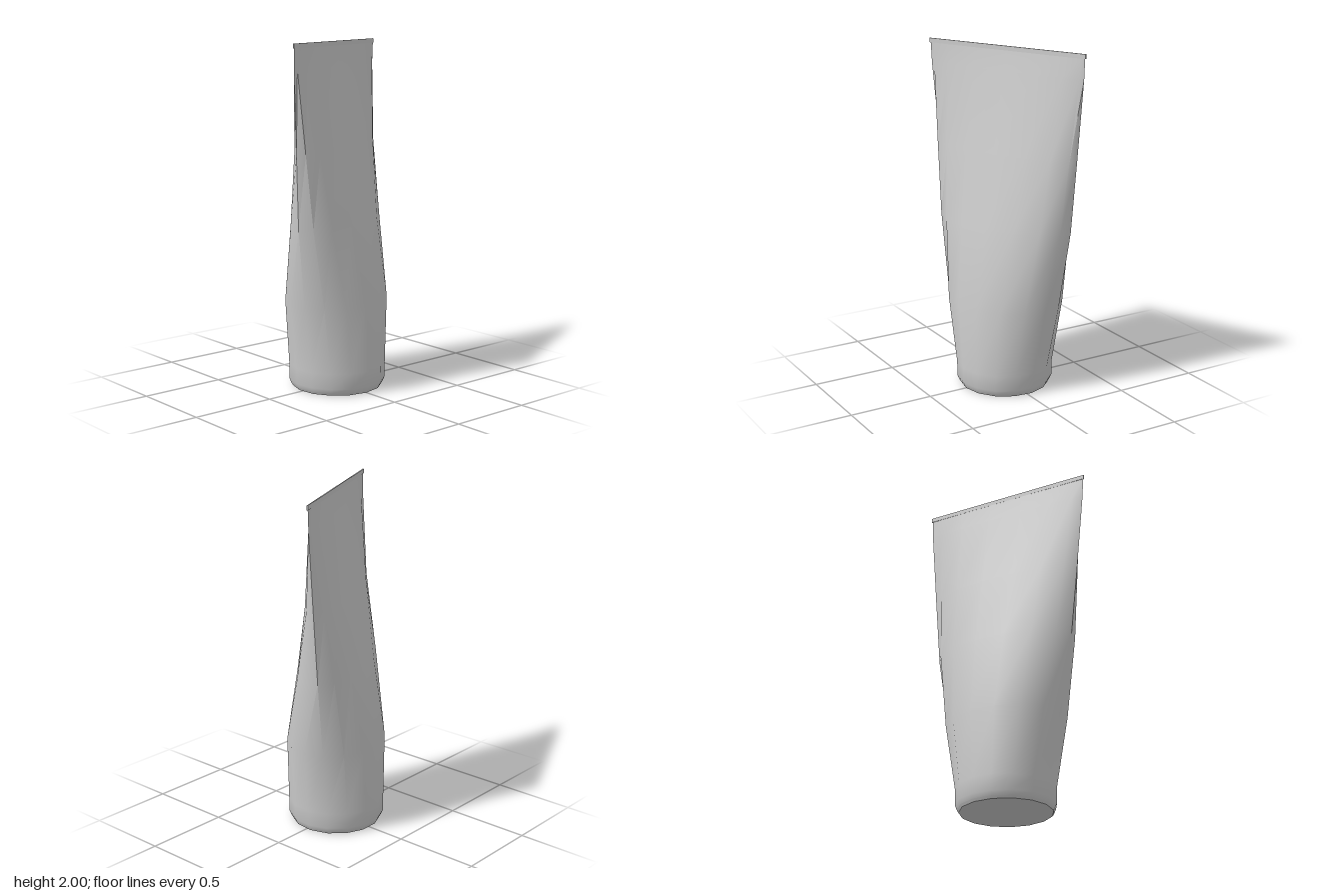
import * as THREE from 'three';
import { toCreasedNormals } from 'three/addons/utils/BufferGeometryUtils.js';

const SIDES = 15;
const grey = new THREE.MeshStandardMaterial({ color: 0xcccccc, side: THREE.DoubleSide });

// Skin over elliptical rings given as [height, half width, half depth, depth offset]
function loft(rings) {
  const positions = [], index = [];
  for (const [y, a, b, shift] of rings) {
    for (let j = 0; j < SIDES; j++) {
      // One corner sits at the middle of the front face
      const t = Math.PI / 2 + (j / SIDES) * Math.PI * 2;
      positions.push(Math.cos(t) * a, y, Math.sin(t) * b + shift);
    }
  }
  for (let i = 0; i < rings.length - 1; i++) {
    for (let j = 0; j < SIDES; j++) {
      const p = i * SIDES + j, q = i * SIDES + ((j + 1) % SIDES);
      index.push(p, p + SIDES, q, q, p + SIDES, q + SIDES);
    }
  }
  const geometry = new THREE.BufferGeometry();
  geometry.setAttribute('position', new THREE.Float32BufferAttribute(positions, 3));
  geometry.setIndex(index);
  return toCreasedNormals(geometry, 0.8);
}

export function createModel() {
  const group = new THREE.Group();
  group.name = 'squeezeTube';
  const add = (name, geometry) => {
    const mesh = new THREE.Mesh(geometry, grey);
    mesh.name = name;
    group.add(mesh);
    return mesh;
  };

  // Round at the foot, flattening into a crimped edge at the top
  add('tubeBody', loft([
    [0.015, 0.27, 0.27, 0],
    [0.04, 0.281, 0.281, 0],
    [0.13, 0.282, 0.282, 0],
    [0.52, 0.36, 0.28, -0.002],
    [0.98, 0.437, 0.198, -0.007],
    [1.4, 0.478, 0.112, -0.006],
    [1.86, 0.52, 0.019, -0.006],
    [1.975, 0.525, 0.003, -0.006],
  ]));

  // Rounded rim and flat base
  add('baseRim', loft([[0, 0.262, 0.262, 0], [0.015, 0.27, 0.27, 0]]));
  const base = new THREE.CircleGeometry(0.262, SIDES, Math.PI / 2);
  base.rotateX(Math.PI / 2);
  add('base', base);

  // Thin sealed lip along the crimp
  const lip = add('crimpLip', new THREE.BoxGeometry(1.054, 0.026, 0.007));
  lip.position.set(0, 1.987, -0.006);

  // The crimp runs diagonally
  group.rotation.y = 0.425;
  const model = new THREE.Group();
  model.name = 'tube';
  model.add(group);
  return model;
}
